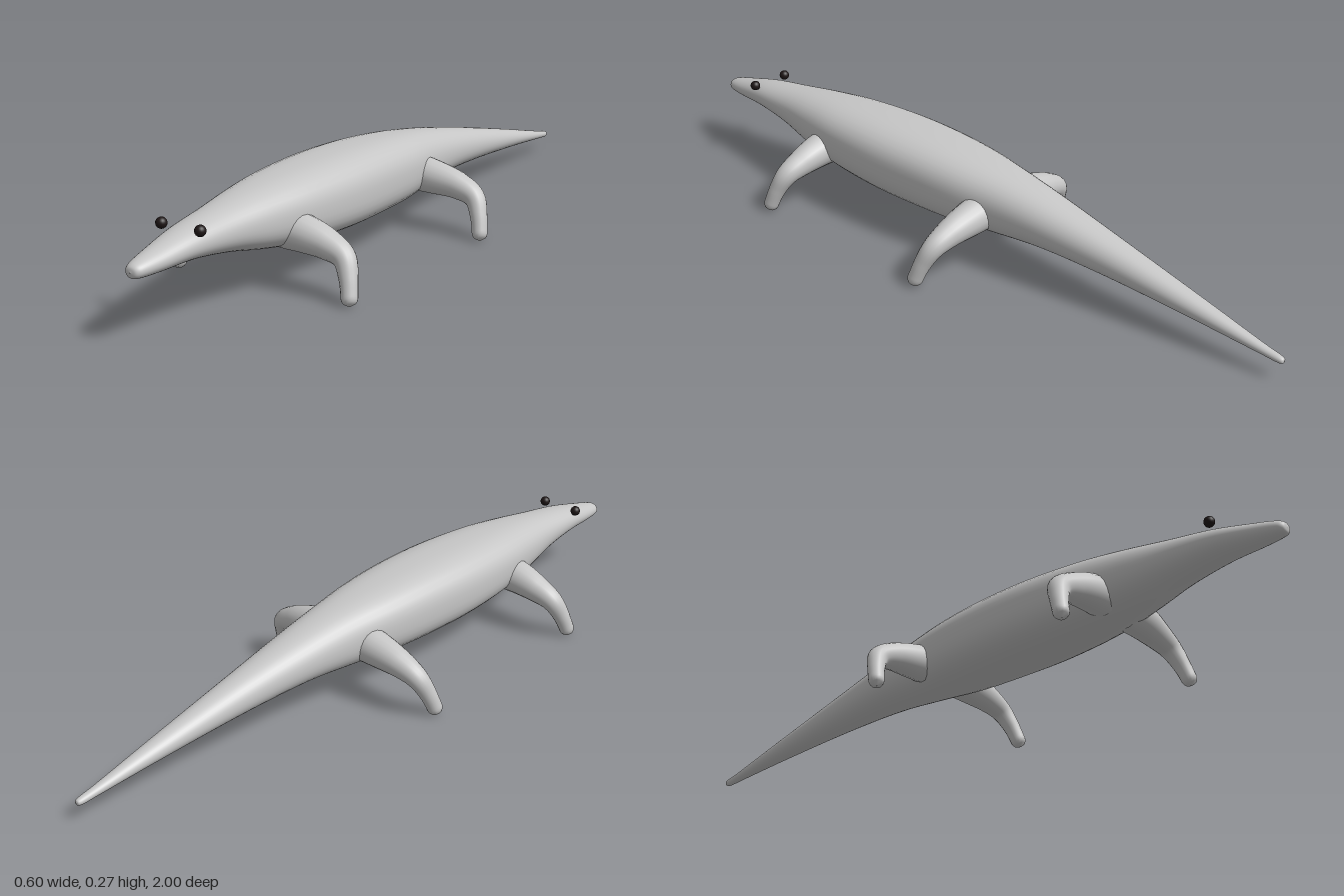
import * as THREE from 'three';
import { mergeVertices } from 'three/addons/utils/BufferGeometryUtils.js';

// Body stations from nose to tail tip: z, top y, bottom y, half width, squareness
const STATIONS = [
  [1.0, 0.176, 0.174, 0.001, 2],
  [0.995, 0.189, 0.161, 0.017, 2],
  [0.975, 0.198, 0.157, 0.027, 2],
  [0.92, 0.211, 0.155, 0.039, 2],
  [0.82, 0.232, 0.154, 0.055, 2.1],
  [0.7, 0.248, 0.138, 0.071, 2.2],
  [0.58, 0.262, 0.113, 0.093, 2.4],
  [0.45, 0.271, 0.094, 0.114, 2.6],
  [0.28, 0.275, 0.083, 0.126, 2.7],
  [0.12, 0.272, 0.08, 0.123, 2.7],
  [-0.02, 0.263, 0.08, 0.112, 2.6],
  [-0.15, 0.248, 0.086, 0.093, 2.4],
  [-0.3, 0.222, 0.092, 0.075, 2.2],
  [-0.5, 0.179, 0.084, 0.053, 2.1],
  [-0.75, 0.12, 0.066, 0.031, 2],
  [-0.93, 0.076, 0.05, 0.015, 2],
  [-0.99, 0.063, 0.045, 0.01, 2],
  [-1.0, 0.055, 0.053, 0.001, 2],
];

// Lofts rounded-square rings through the stations
function bodyGeometry(rings = 120, sides = 40) {
  const curve = (pick) => new THREE.CatmullRomCurve3(
    STATIONS.map((s) => new THREE.Vector3(...pick(s))), false, 'catmullrom', 0.5);
  const outline = curve((s) => [s[0], s[1], s[2]]);
  const section = curve((s) => [s[3], s[4], 0]);
  const positions = [], index = [];
  for (let i = 0; i <= rings; i++) {
    const { x: z, y: top, z: bottom } = outline.getPoint(i / rings);
    const { x: width, y: power } = section.getPoint(i / rings);
    for (let j = 0; j < sides; j++) {
      const a = (j / sides) * Math.PI * 2;
      const c = Math.cos(a), s = Math.sin(a);
      const k = Math.pow(Math.abs(c) ** power + Math.abs(s) ** power, -1 / power);
      positions.push(width * c * k, (top + bottom) / 2 + ((top - bottom) / 2) * s * k, z);
      if (i < rings) {
        const n = (j + 1) % sides;
        const p = i * sides + j, q = i * sides + n;
        index.push(p, p + sides, q, q, p + sides, q + sides);
      }
    }
  }
  const g = new THREE.BufferGeometry();
  g.setAttribute('position', new THREE.Float32BufferAttribute(positions, 3));
  g.setIndex(index);
  g.computeVertexNormals();
  return g;
}

// Tapered tube with a rounded foot
function legGeometry(points, segments = 48, sides = 18) {
  const path = new THREE.CatmullRomCurve3(points);
  const length = path.getLength();
  const g = new THREE.TubeGeometry(path, segments, 1, sides);
  const pos = g.attributes.position, v = new THREE.Vector3();
  for (let i = 0; i <= segments; i++) {
    // Bunch the rings slightly toward the foot
    const u = i / segments;
    const base = THREE.MathUtils.lerp(0.05, 0.021, THREE.MathUtils.smoothstep(u, 0, 0.95));
    const left = (1 - u) * length;
    const r = left < 0.022 ? base * Math.sqrt(Math.max(0.0005, 1 - (1 - left / 0.022) ** 2)) : base;
    const centre = path.getPointAt(u);
    for (let j = 0; j <= sides; j++) {
      const n = i * (sides + 1) + j;
      v.fromBufferAttribute(pos, n).sub(centre).multiplyScalar(r).add(centre);
      pos.setXYZ(n, v.x, v.y, v.z);
    }
  }
  g.deleteAttribute('uv');
  g.deleteAttribute('normal');
  const merged = mergeVertices(g, 1e-5);
  merged.computeVertexNormals();
  return merged;
}

export function createModel() {
  const group = new THREE.Group();
  const skin = new THREE.MeshStandardMaterial({ color: 0xc6c6c6 });
  skin.name = 'grey skin';
  const dark = new THREE.MeshStandardMaterial({ color: 0x1e1616 });
  dark.name = 'dark eye';

  const add = (name, geometry, material) => {
    const mesh = new THREE.Mesh(geometry, material);
    mesh.name = name;
    group.add(mesh);
    return mesh;
  };

  add('body', bodyGeometry(), skin);

  for (const [side, s] of [['left', 1], ['right', -1]]) {
    // Legs reach outward, then bend down and slightly forward
    for (const [name, z, out] of [['FrontLeg', 0.495, 0], ['BackLeg', -0.1, 0.02]]) {
      const points = [
        [0.05, 0.15, 0], [0.11, 0.144, 0], [0.17 + out, 0.13, 0], [0.222 + out, 0.107, 0.005],
        [0.245 + out, 0.065, 0.021], [0.262 + out, 0.002, 0.042],
      ].map(([x, y, dz]) => new THREE.Vector3(s * x, y, z + dz));
      add(side + name, legGeometry(points), skin);
    }
    // Eyes
    add(side + 'Eye', new THREE.SphereGeometry(0.014, 20, 14), dark)
      .position.set(s * 0.056, 0.233, 0.825);
  }
  return group;
}
